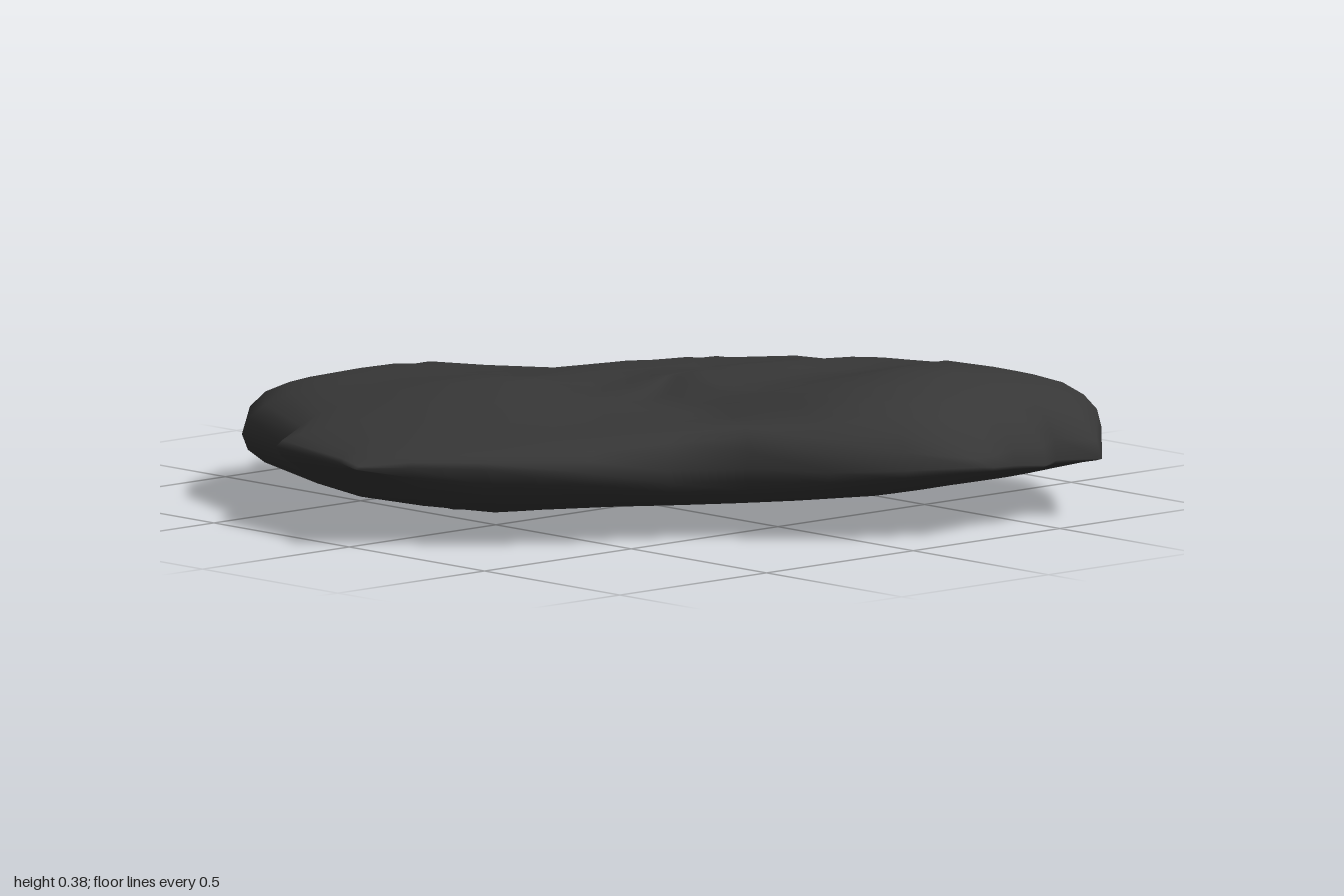
import * as THREE from 'three';

// Rim of the slab seen from above, [x, z, height], running from the left tip round the back
const RIM = [
  [-1, 0.02, 0.2], [-0.96, -0.08, 0.2], [-0.91, -0.37, 0.2], [-0.83, -0.4, 0.18], [-0.72, -0.7, 0.17],
  [-0.6, -0.82, 0.16], [-0.4, -0.94, 0.16], [-0.32, -0.93, 0.16], [-0.23, -0.97, 0.2], [0.04, -0.89, 0.18],
  [0.11, -0.82, 0.17], [0.32, -0.71, 0.16], [0.52, -0.7, 0.15], [0.6, -0.64, 0.16], [0.7, -0.46, 0.17],
  [0.77, -0.18, 0.18], [0.8, 0.05, 0.18], [0.93, 0.12, 0.19], [0.98, 0.22, 0.2], [1, 0.38, 0.2],
  [0.99, 0.55, 0.19], [0.9, 0.72, 0.18], [0.69, 0.95, 0.15], [0.59, 0.89, 0.15], [0.52, 0.93, 0.15],
  [0.42, 0.925, 0.16], [0.32, 0.955, 0.17], [0.25, 0.97, 0.18], [0.08, 0.89, 0.18], [-0.08, 0.78, 0.18],
  [-0.19, 0.6, 0.18], [-0.36, 0.49, 0.18], [-0.56, 0.42, 0.19], [-0.78, 0.23, 0.2], [-0.89, 0.1, 0.2],
];

// Height profiles across x and z for the upper and lower faces
const TOP_X = [[-1, 0.21], [-0.9, 0.24], [-0.75, 0.265], [-0.47, 0.325], [-0.2, 0.33], [-0.07, 0.3],
  [0, 0.34], [0.4, 0.39], [0.55, 0.365], [0.65, 0.345], [0.93, 0.285], [1, 0.24]];
const TOP_Z = [[-0.97, 0.21], [-0.82, 0.295], [-0.5, 0.295], [-0.17, 0.345], [0, 0.335], [0.12, 0.35],
  [0.33, 0.33], [0.45, 0.35], [0.64, 0.39], [0.87, 0.305], [0.97, 0.22]];
const LOW_X = [[-1, 0.19], [-0.83, 0.08], [-0.7, 0.045], [-0.6, 0.055], [-0.47, 0], [-0.38, 0],
  [-0.22, 0.05], [-0.15, 0.025], [0.15, 0.015], [0.48, 0.03], [0.6, 0.07], [0.8, 0.09], [0.92, 0.12], [1, 0.17]];
const LOW_Z = [[-0.97, 0.19], [-0.92, 0.12], [-0.82, 0.04], [-0.6, 0.035], [-0.4, -0.005], [-0.25, 0.02],
  [-0.1, 0.015], [0.28, 0.045], [0.75, 0.09], [0.97, 0.14]];

// Broad hollows, [x, z, radius, change in height]
const TOP_HOLLOWS = [[0.75, -0.1, 0.35, -0.05], [0.4, -0.65, 0.45, -0.06], [-0.4, 0.35, 0.4, -0.06],
  [-0.35, -0.95, 0.25, -0.02]];
const LOW_HOLLOWS = [[-0.6, 0.35, 0.35, 0.03]];

// Rings from the middle out: [distance, share of the full upper height, share of the lower]
const RINGS = [[0.12, 1, 1], [0.25, 1, 1], [0.38, 1, 1], [0.5, 1, 1], [0.62, 1, 1], [0.74, 1, 0.98],
  [0.84, 0.97, 0.91], [0.91, 0.9, 0.78], [0.96, 0.7, 0.57], [0.99, 0.4, 0.32]];
const CX = 0.15, CZ = 0.06;

function sample(profile, v) {
  const i = profile.findIndex((p) => p[0] >= v);
  if (i === 0) return profile[0][1];
  if (i < 0) return profile[profile.length - 1][1];
  const [a, ya] = profile[i - 1], [b, yb] = profile[i];
  return ya + (yb - ya) * (v - a) / (b - a);
}

const hollow = (list, x, z) => list.reduce(
  (sum, [hx, hz, r, h]) => sum + h * Math.exp(-((x - hx) ** 2 + (z - hz) ** 2) / (r * r)), 0);
const top = (x, z) => Math.min(sample(TOP_X, x), sample(TOP_Z, z)) + hollow(TOP_HOLLOWS, x, z);
const low = (x, z) => Math.max(0, sample(LOW_X, x), sample(LOW_Z, z)) + hollow(LOW_HOLLOWS, x, z);

function slabGeometry() {
  const n = RIM.length, pos = [], index = [];

  // One loop of vertices at distance t; inner loops lose the small notches of the rim
  const addRing = (t, share, face) => {
    const smooth = 1 - t ** 8;
    RIM.forEach((point, i) => {
      const before = RIM[(i + n - 1) % n], after = RIM[(i + 1) % n];
      const [rx, rz, ry] = point.map((v, c) => v + ((before[c] + v + after[c]) / 3 - v) * smooth);
      const x = CX + (rx - CX) * t, z = CZ + (rz - CZ) * t;
      const target = face > 0 ? Math.max(top(x, z), ry) : Math.min(low(x, z), ry);
      pos.push(x, ry + (target - ry) * share, z);
    });
  };
  pos.push(CX, top(CX, CZ), CZ);
  RINGS.forEach(([t, up]) => addRing(t, up, 1));
  addRing(1, 0, 1);
  [...RINGS].reverse().forEach(([t, , down]) => addRing(t, down, -1));
  const last = pos.length / 3;
  pos.push(CX, low(CX, CZ), CZ);

  const loops = RINGS.length * 2 + 1;
  const end = 1 + (loops - 1) * n;
  for (let j = 0; j < n; j++) {
    const k = (j + 1) % n;
    index.push(0, 1 + k, 1 + j);
    for (let r = 0; r < loops - 1; r++) {
      const a = 1 + r * n + j, b = 1 + r * n + k;
      index.push(a, b, a + n, b, b + n, a + n);
    }
    index.push(last, end + j, end + k);
  }
  const geo = new THREE.BufferGeometry();
  geo.setAttribute('position', new THREE.Float32BufferAttribute(pos, 3));
  geo.setIndex(index);
  geo.computeVertexNormals();
  return geo;
}

export function createModel() {
  const group = new THREE.Group();
  group.name = 'flatRock';
  const slab = new THREE.Mesh(slabGeometry(), new THREE.MeshStandardMaterial({ color: 0x373737 }));
  slab.name = 'rockSlab';
  group.add(slab);
  return group;
}
